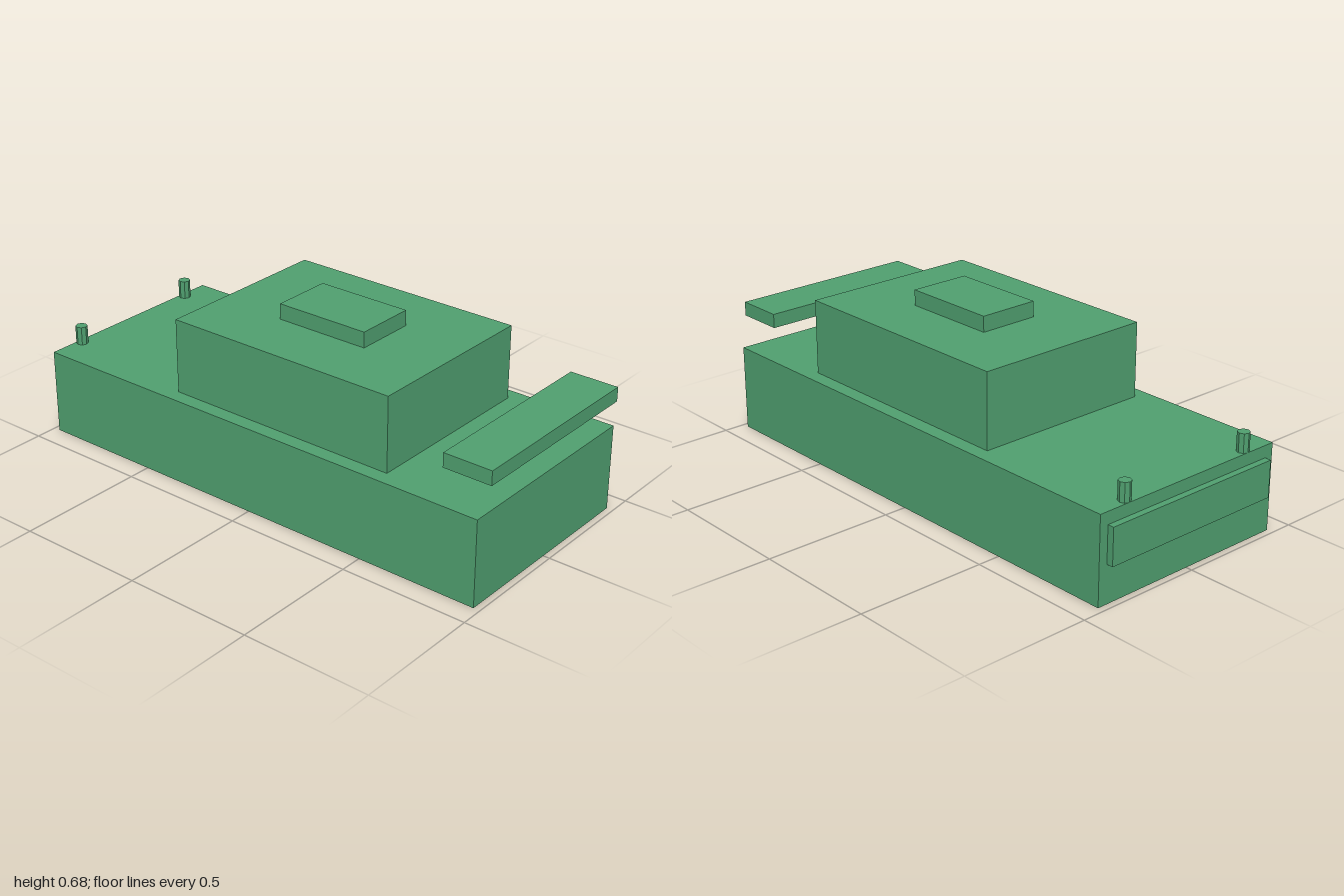
import * as THREE from 'three';

export function createModel() {
  const group = new THREE.Group();
  const green = new THREE.MeshStandardMaterial({ color: 0x50a070 });
  green.name = 'green';

  // Box symmetric in x, given by its width and its y and z ranges
  const block = (name, width, y0, y1, z0, z1) => {
    const mesh = new THREE.Mesh(new THREE.BoxGeometry(width, y1 - y0, z1 - z0), green);
    mesh.name = name;
    mesh.position.set(0, (y0 + y1) / 2, (z0 + z1) / 2);
    group.add(mesh);
  };

  block('body', 0.828, 0, 0.333, -0.975, 0.975);
  block('cabin', 0.714, 0.333, 0.62, -0.38, 0.57);
  block('roofHatch', 0.238, 0.62, 0.68, -0.095, 0.283);
  block('frontBar', 0.758, 0.45, 0.505, 0.81, 1);
  block('rearPlate', 0.758, 0.145, 0.286, -1, -0.975);

  // Small eight-sided posts on the rear corners
  const postGeometry = new THREE.CylinderGeometry(0.023, 0.023, 0.072, 8).toNonIndexed();
  postGeometry.computeVertexNormals();
  for (const [name, side] of [['leftPost', 1], ['rightPost', -1]]) {
    const post = new THREE.Mesh(postGeometry, green);
    post.name = name;
    post.position.set(side * 0.285, 0.369, -0.953);
    group.add(post);
  }

  return group;
}
